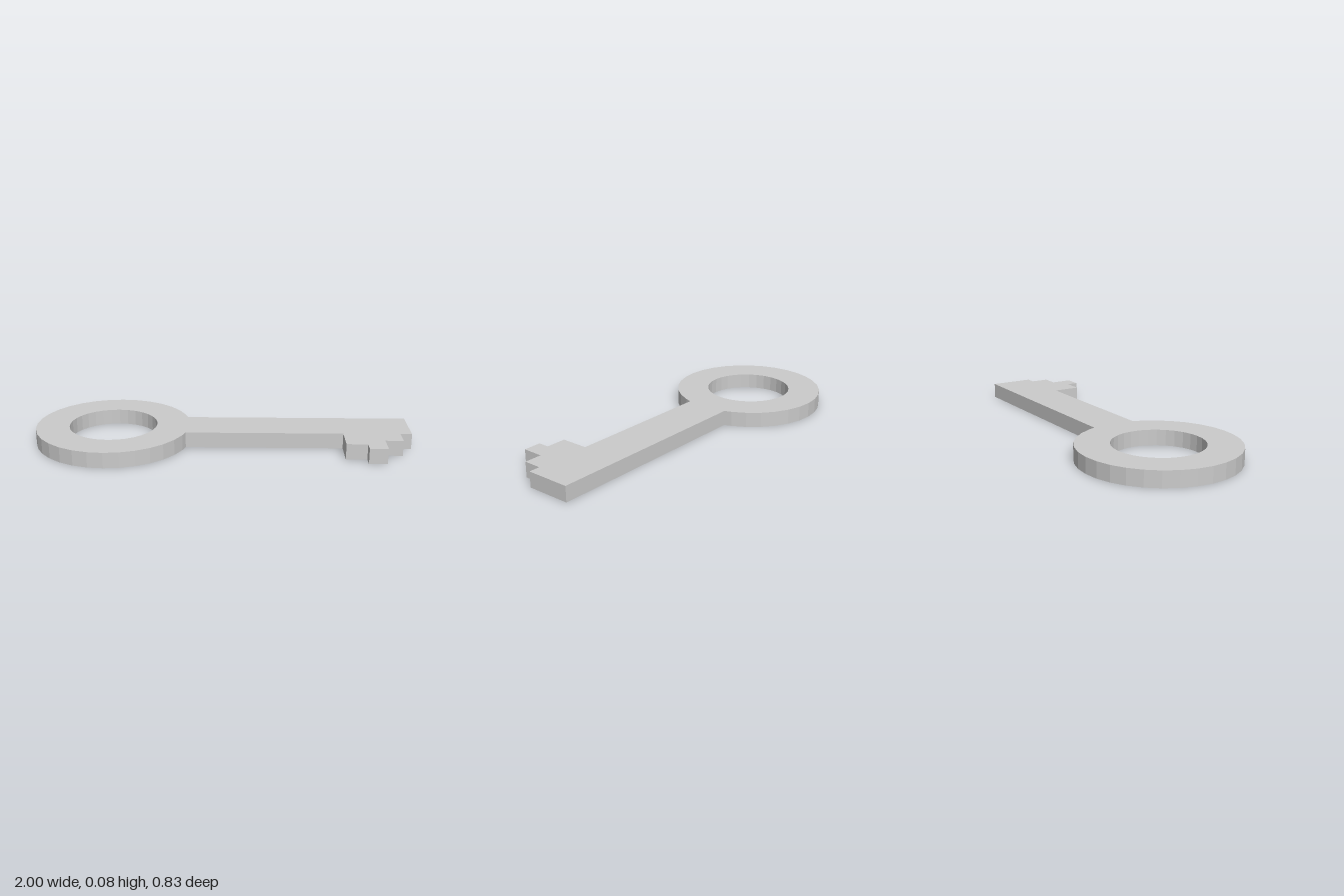
import * as THREE from 'three';

const THICKNESS = 0.083;
const RING = { x: -0.586, outer: 0.414, inner: 0.236, sides: 32 };
const HALF_SHAFT = 0.12;

// Points of a circle around the ring centre, from one angle to another
function arcPoints(radius, angles) {
  return angles.map((a) => new THREE.Vector2(RING.x + radius * Math.cos(a), radius * Math.sin(a)));
}

// Flat plate lying on the ground; shape y becomes z
function plate(name, shape, material) {
  const geometry = new THREE.ExtrudeGeometry(shape, { depth: THICKNESS, bevelEnabled: false });
  geometry.rotateX(Math.PI / 2).translate(0, THICKNESS, 0);
  const mesh = new THREE.Mesh(geometry, material);
  mesh.name = name;
  return mesh;
}

export function createModel() {
  const material = new THREE.MeshStandardMaterial({ color: 0xcccccc, flatShading: true });
  const key = new THREE.Group();
  key.name = 'key';

  // Ring handle, cut straight where the shaft begins
  const step = (Math.PI * 2) / RING.sides;
  const joint = Math.asin(HALF_SHAFT / RING.outer);
  const rim = [joint];
  for (let i = 2; i <= RING.sides - 2; i++) rim.push(i * step);
  rim.push(Math.PI * 2 - joint);
  const ring = new THREE.Shape(arcPoints(RING.outer, rim));
  const holeAngles = Array.from({ length: RING.sides }, (_, i) => -i * step);
  ring.holes.push(new THREE.Path(arcPoints(RING.inner, holeAngles)));
  key.add(plate('ringHandle', ring, material));

  // Shaft with the stepped bit on its front edge
  const start = RING.x + RING.outer * Math.cos(joint);
  const outline = [
    [start, -HALF_SHAFT], [1, -HALF_SHAFT], [1, HALF_SHAFT],
    [0.94, HALF_SHAFT], [0.94, 0.217], [0.845, 0.217],
    [0.845, 0.33], [0.75, 0.33], [0.75, 0.27],
    [0.64, 0.27], [0.64, HALF_SHAFT], [start, HALF_SHAFT],
  ];
  const shaft = new THREE.Shape(outline.map(([x, z]) => new THREE.Vector2(x, z)));
  key.add(plate('shaftAndBit', shaft, material));

  return key;
}
